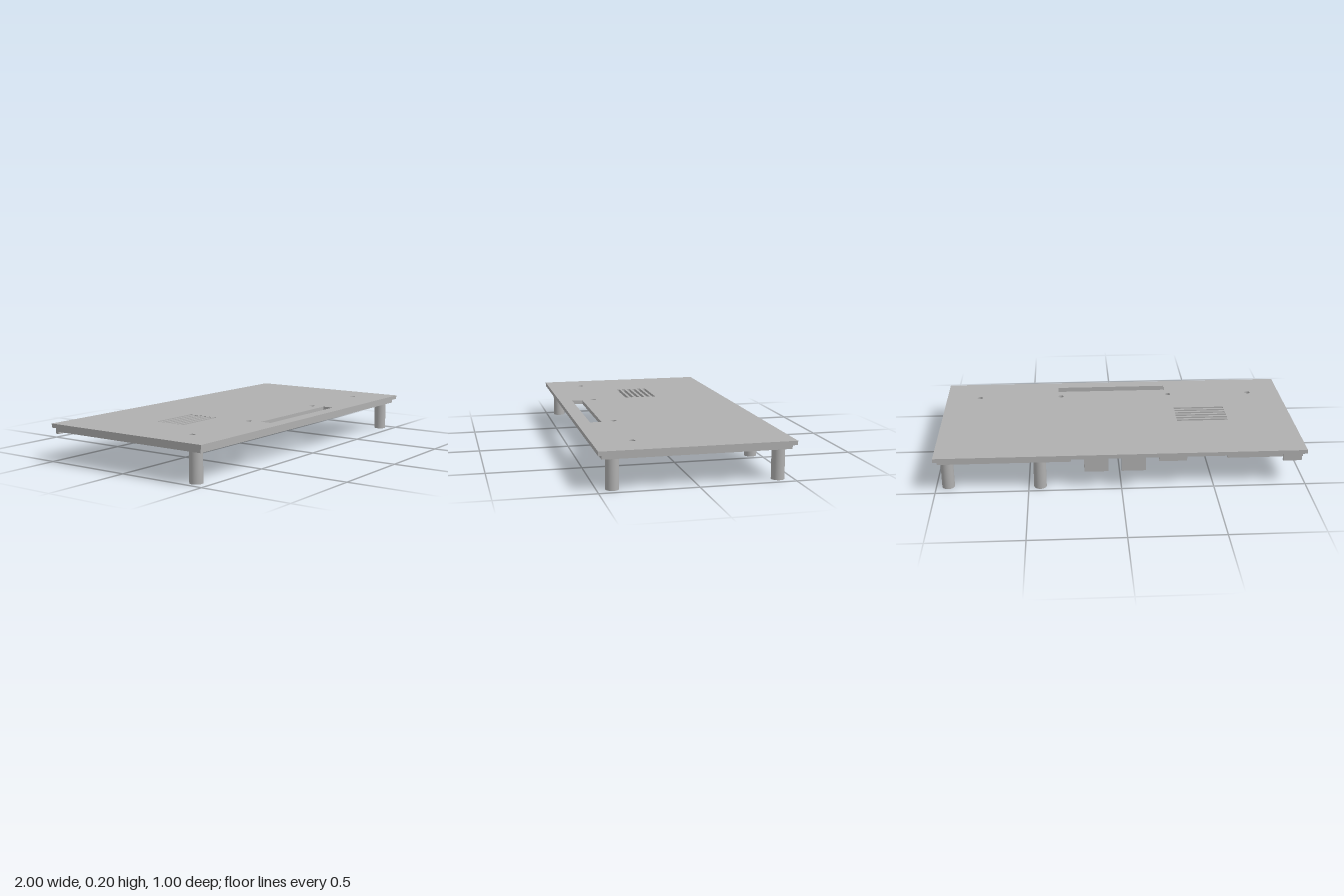
import * as THREE from 'three';

const TOP = 0.205, UNDER = 0.183, RIM = 0.16;

export function createModel() {
  const model = new THREE.Group();
  model.name = 'coverPanel';
  const grey = new THREE.MeshStandardMaterial({ color: 0xb0b0b0 });
  grey.name = 'plain grey';

  const add = (name, geometry) => {
    const mesh = new THREE.Mesh(geometry, grey);
    mesh.name = name;
    model.add(mesh);
    return mesh;
  };
  const box = (name, x0, x1, y0, y1, z0, z1) =>
    add(name, new THREE.BoxGeometry(x1 - x0, y1 - y0, z1 - z0))
      .position.set((x0 + x1) / 2, (y0 + y1) / 2, (z0 + z1) / 2);

  // Flat outlines: shape x is x, shape y is z
  const rect = (x0, x1, z0, z1, Type = THREE.Path) =>
    new Type([[x0, z0], [x1, z0], [x1, z1], [x0, z1]].map(p => new THREE.Vector2(...p)));

  // Top plate with vent slots, a long opening and screw holes
  const plate = rect(-1, 1, -0.5, 0.5, THREE.Shape);
  for (let i = 0; i < 6; i++) {
    const z = (i - 2.5) * 0.0333;
    plate.holes.push(rect(-0.63, -0.34, z - 0.009, z + 0.009));
  }
  plate.holes.push(rect(-0.31, 0.335, 0.364, 0.426));
  for (const x of [-0.81, -0.325, 0.32, 0.805]) {
    plate.holes.push(new THREE.Path().absarc(x, 0.295, 0.016, 0, Math.PI * 2, true));
  }
  const plateGeometry = new THREE.ExtrudeGeometry(plate, {
    depth: TOP - UNDER, bevelEnabled: false, curveSegments: 16,
  });
  plateGeometry.rotateX(Math.PI / 2);
  add('topPlate', plateGeometry).position.y = TOP;

  // Inset rim under the plate, interrupted along the back
  box('frontRim', -0.98, 0.98, RIM, UNDER, 0.465, 0.48);
  for (const s of [-1, 1]) {
    const x = s * 0.9725;
    box('sideRim', x - 0.0075, x + 0.0075, RIM, UNDER, -0.48, 0.465);
  }
  box('backRim', 0.27, 0.965, RIM, UNDER, -0.48, -0.465);
  box('backRim', -0.87, -0.57, RIM, UNDER, -0.48, -0.465);

  // Tabs hanging from the back edge
  for (const [x0, x1, y] of [
    [0.07, 0.2, 0.108], [-0.13, 0, 0.108], [-0.35, -0.2, RIM], [-0.97, -0.87, 0.145],
  ]) {
    box('backTab', x0, x1, y, UNDER, -0.5, -0.484);
  }

  // Hollow-ended legs
  const legProfile = [
    [0, 0.1], [0.014, 0.1], [0.014, 0.1], [0.014, 0], [0.014, 0],
    [0.034, 0], [0.034, 0], [0.034, UNDER],
  ].map(p => new THREE.Vector2(...p));
  // Separate lathes per straight run keep the edges sharp
  for (const [x, z] of [[-0.94, 0.422], [0.935, 0.422], [0.935, -0.422], [0.438, -0.446]]) {
    const leg = new THREE.Group();
    leg.name = 'leg';
    for (const [i, name] of [[0, 'boreEnd'], [2, 'boreWall'], [4, 'foot'], [6, 'legWall']]) {
      const part = new THREE.Mesh(new THREE.LatheGeometry(legProfile.slice(i, i + 2), 32), grey);
      part.name = name;
      leg.add(part);
    }
    leg.position.set(x, 0, z);
    model.add(leg);
  }
  return model;
}
